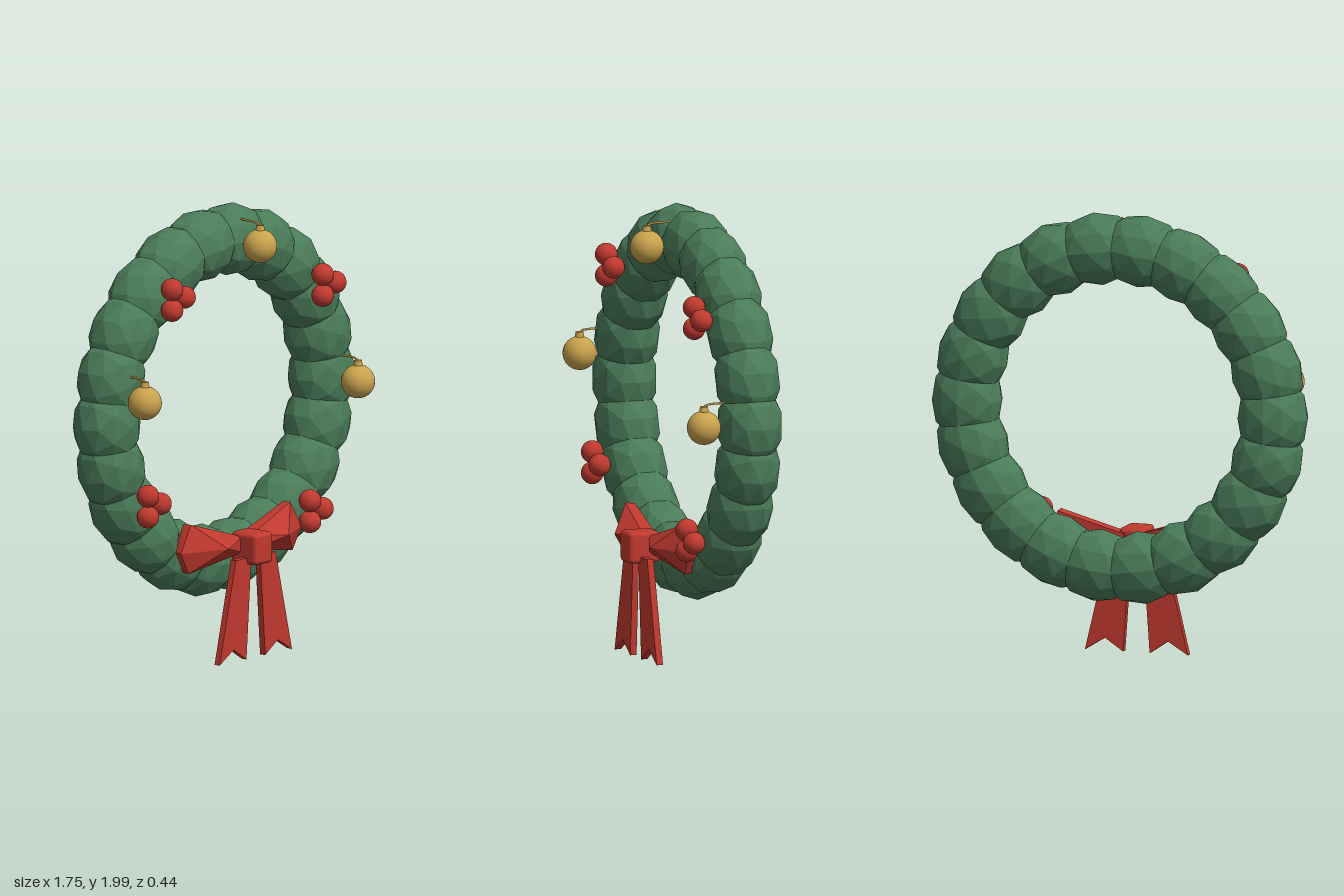
import * as THREE from 'three';
import { RoundedBoxGeometry } from 'three/addons/geometries/RoundedBoxGeometry.js';
import { ConvexGeometry } from 'three/addons/geometries/ConvexGeometry.js';

const mat = (name, color, flatShading = false) => {
  const m = new THREE.MeshStandardMaterial({ color, flatShading });
  m.name = name;
  return m;
};

export function createModel() {
  const green = mat('foliage green', 0x4a7c59, true);
  const red = mat('ribbon red', 0xc0392f);
  const gold = mat('ornament gold', 0xc9a24d);

  const model = new THREE.Group();
  model.name = 'wreath';
  const add = (name, geometry, material, x = 0, y = 0, z = 0, parent = model) => {
    const mesh = new THREE.Mesh(geometry, material);
    mesh.name = name;
    mesh.position.set(x, y, z);
    parent.add(mesh);
    return mesh;
  };

  // Ring of overlapping faceted tufts
  const ring = new THREE.Group();
  ring.name = 'foliageRing';
  ring.position.set(0, 1.13, -0.075);
  model.add(ring);
  const COUNT = 22, R = 0.713;
  const tuft = new THREE.IcosahedronGeometry(1, 1).scale(0.162, 0.2, 0.145);
  for (let i = 0; i < COUNT; i++) {
    const a = (i / COUNT) * Math.PI * 2;
    add('foliageTuft', tuft, green, R * Math.cos(a), R * Math.sin(a), 0, ring).rotation.z = a;
  }

  // Berry clusters, three berries each
  const berry = new THREE.SphereGeometry(0.05, 20, 14);
  for (const [x, y] of [[-0.485, 1.678], [0.515, 1.588], [-0.645, 0.775], [0.43, 0.585]]) {
    const cluster = new THREE.Group();
    cluster.name = 'berryCluster';
    cluster.position.set(x, y, 0.107);
    model.add(cluster);
    for (const [dx, dy] of [[0, 0.047], [0.083, 0], [0, -0.047]]) {
      add('berry', berry, red, dx, dy, 0, cluster);
    }
  }

  // Hanging baubles with cap and wire hook
  const ball = new THREE.SphereGeometry(0.075, 28, 20);
  const cap = new THREE.CylinderGeometry(0.017, 0.021, 0.025, 14);
  const hook = new THREE.TubeGeometry(new THREE.CatmullRomCurve3([
    new THREE.Vector3(0, 0.09, 0),
    new THREE.Vector3(0, 0.1, -0.012),
    new THREE.Vector3(0, 0.106, -0.11),
  ]), 10, 0.005, 6);
  for (const [x, y] of [[0.06, 1.84], [-0.705, 1.255], [0.71, 1.13]]) {
    const bauble = new THREE.Group();
    bauble.name = 'bauble';
    bauble.position.set(x, y, 0.142);
    model.add(bauble);
    add('baubleBall', ball, gold, 0, 0, 0, bauble);
    add('baubleCap', cap, gold, 0, 0.082, 0, bauble);
    add('baubleHook', hook, gold, 0, 0, 0, bauble);
  }

  // Bow: faceted loops and notched tails on both sides of a rounded knot
  const bow = new THREE.Group();
  bow.name = 'bow';
  model.add(bow);
  for (const s of [-1, 1]) {
    const loop = [
      [0.40, 0.52, 0.085], [0.33, 0.64, 0.08], [0.345, 0.42, 0.08],
      [0.33, 0.635, 0.035], [0.345, 0.425, 0.035], [0.39, 0.52, 0.035],
      [0.20, 0.525, 0.187],
      [0.03, 0.545, 0.12], [0.03, 0.475, 0.12], [0.03, 0.545, 0.06], [0.03, 0.475, 0.06],
    ].map(([x, y, z]) => new THREE.Vector3(s * x, y, z));
    add(s < 0 ? 'bowLoopRight' : 'bowLoopLeft', new ConvexGeometry(loop), red, 0, 0, 0, bow);

    const tail = new THREE.Shape([
      [0.03, 0.46], [0.062, 0.005], [0.147, 0.062], [0.24, 0.005], [0.132, 0.46],
    ].map(([x, y]) => new THREE.Vector2(s * x, y)));
    add(s < 0 ? 'bowTailRight' : 'bowTailLeft',
      new THREE.ExtrudeGeometry(tail, { depth: 0.03, bevelEnabled: false }), red, 0, 0, 0.14, bow);
  }
  add('bowKnot', new RoundedBoxGeometry(0.12, 0.14, 0.15, 3, 0.02), red, 0, 0.5, 0.148, bow);

  // Set the tail tips on the ground
  model.children.forEach((part) => { part.position.y -= 0.005; });
  return model;
}
